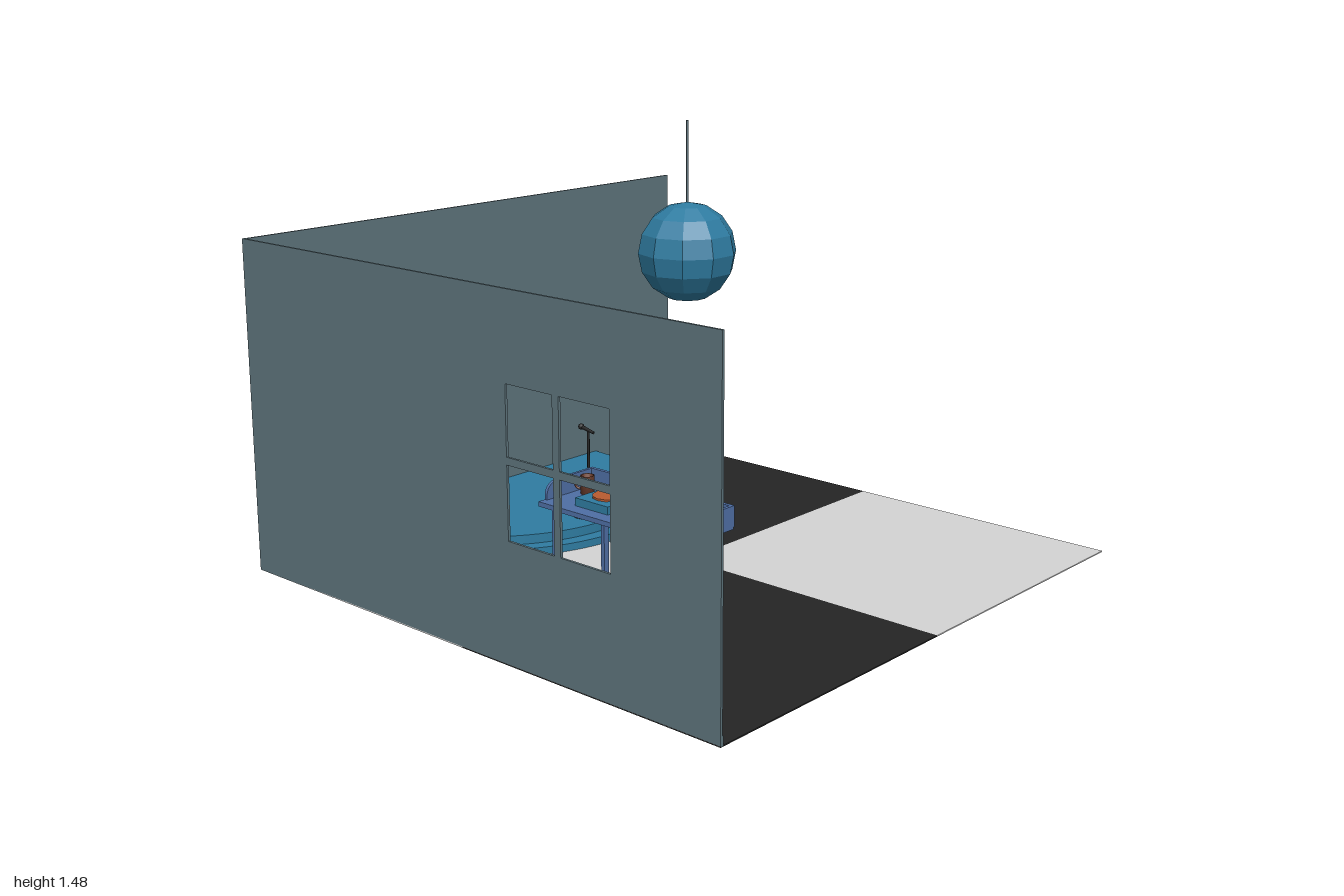
import * as THREE from 'three';

const mat = (name, color, extra = {}) => {
  const m = new THREE.MeshStandardMaterial({ color, ...extra });
  m.name = name;
  return m;
};

export function createModel() {
  const wall = mat('wall slate', 0x5f757d);
  const blue = mat('stage blue', 0x2f7ca1);
  const orange = mat('cabinet orange', 0xb85b30);
  const brown = mat('mug brown', 0x693c2c);
  const desk = mat('desk blue', 0x4f6fa5);
  const black = mat('black', 0x242424);
  const light = mat('light tile', 0xd4d4d4);
  const facetBlue = blue;

  const group = (name, parent) => {
    const g = new THREE.Group();
    g.name = name;
    parent.add(g);
    return g;
  };
  const add = (parent, name, geo, material, x = 0, y = 0, z = 0) => {
    const m = new THREE.Mesh(geo, material);
    m.name = name;
    m.position.set(x, y, z);
    parent.add(m);
    return m;
  };
  // Box given by its minimum and maximum corners
  const box = (parent, name, material, x0, x1, y0, y1, z0, z1) =>
    add(parent, name, new THREE.BoxGeometry(x1 - x0, y1 - y0, z1 - z0), material,
      (x0 + x1) / 2, (y0 + y1) / 2, (z0 + z1) / 2);
  const cyl = (r0, r1, h, n = 16) => new THREE.CylinderGeometry(r0, r1, h, n);

  const model = new THREE.Group();
  model.name = 'musicRoom';

  // Checkered floor
  const floor = group('floor', model);
  for (const sx of [-1, 1]) for (const sz of [-1, 1]) {
    add(floor, 'floorTile', new THREE.BoxGeometry(1, 0.004, 1), sx === sz ? light : black,
      sx * 0.5, 0.002, sz * 0.5);
  }

  // Walls: back, and side with a four-pane window
  const walls = group('walls', model);
  box(walls, 'backWall', wall, -1, 1, 0, 1.11, -0.998, -0.99);
  box(walls, 'backSkirting', wall, -0.99, 1, 0, 0.03, -0.99, -0.986);
  const side = new THREE.Shape();
  side.moveTo(-1, 0).lineTo(1, 0).lineTo(1, 1.11).lineTo(-1, 1.11).closePath();
  for (const [a, b] of [[-0.61, -0.42], [-0.395, -0.21]])
    for (const [c, d] of [[0.38, 0.605], [0.628, 0.84]]) {
      const pane = new THREE.Path();
      pane.moveTo(a, c).lineTo(a, d).lineTo(b, d).lineTo(b, c).closePath();
      side.holes.push(pane);
    }
  const sideGeo = new THREE.ExtrudeGeometry(side, { depth: 0.008, bevelEnabled: false });
  sideGeo.rotateY(Math.PI / 2);
  add(walls, 'windowWall', sideGeo, wall, -1);
  box(walls, 'sideSkirting', wall, -0.992, -0.988, 0, 0.03, -0.99, 1);

  // Two-step half-oval stage
  const stage = group('stage', model);
  const step = (name, rx, rz, y0, y1) => {
    const s = new THREE.Shape();
    s.absellipse(0, 0, rx, rz, 0, Math.PI, false);
    s.closePath();
    const g = new THREE.ExtrudeGeometry(s, { depth: y1 - y0, bevelEnabled: false, curveSegments: 48 });
    g.rotateX(Math.PI / 2);
    add(stage, name, g, blue, 0, y1, -1);
  };
  step('lowerStep', 0.62, 0.68, 0.002, 0.03);
  step('upperStep', 0.575, 0.63, 0.03, 0.062);

  // Microphone on its stand
  const mic = group('microphone', model);
  mic.position.set(0, 0.062, -0.46);
  add(mic, 'standBase', cyl(0.05, 0.062, 0.01, 20), black, 0, 0.005);
  add(mic, 'standPole', cyl(0.005, 0.005, 0.3, 8), black, 0, 0.155);
  const handle = add(mic, 'micHandle', cyl(0.007, 0.005, 0.06, 10), black, 0, 0.307, -0.003);
  handle.rotation.x = -Math.PI / 2 + 0.2;
  add(mic, 'micHead', new THREE.SphereGeometry(0.011, 12, 8), black, 0, 0.313, -0.034);

  // Hanging faceted ball
  const ball = group('hangingBall', model);
  const ballGeo = new THREE.SphereGeometry(0.162, 10, 8).toNonIndexed();
  ballGeo.computeVertexNormals();
  add(ball, 'ball', ballGeo, facetBlue, 0, 1.052);
  add(ball, 'rod', cyl(0.004, 0.004, 0.28, 8), wall, 0, 1.335);

  // Hollow mug with a handle
  const makeMug = (parent, x, y, z, turn) => {
    const g = group('mug', parent);
    g.position.set(x, y, z);
    g.rotation.y = turn;
    const pts = [[0, 0], [0.021, 0], [0.022, 0.057], [0.018, 0.057], [0.017, 0.042], [0, 0.042]];
    add(g, 'mugBody', new THREE.LatheGeometry(pts.map(p => new THREE.Vector2(...p)), 14), brown);
    add(g, 'mugHandle', new THREE.TorusGeometry(0.014, 0.004, 6, 14), brown, 0.023, 0.029);
  };

  // Speaker cabinets
  for (const x of [-0.76, 0.765]) {
    const c = group('speakerCabinet', model);
    c.position.set(x, 0, -0.867);
    box(c, 'cabinetBody', orange, -0.105, 0.105, 0.03, 0.355, -0.103, 0.1);
    box(c, 'speakerCloth', blue, -0.093, 0.093, 0.042, 0.25, 0.1, 0.104);
    box(c, 'displayPanel', brown, -0.055, 0.055, 0.272, 0.338, 0.1, 0.104);
    for (const s of [-1, 1]) {
      const knob = add(c, 'knob', cyl(0.009, 0.009, 0.012, 12), brown, s * 0.078, 0.302, 0.105);
      knob.rotation.x = Math.PI / 2;
      for (const z of [-0.082, 0.08])
        add(c, 'cabinetFoot', cyl(0.01, 0.007, 0.032, 8), brown, s * 0.088, 0.016, z);
    }
  }
  makeMug(model, 0.835, 0.355, -0.81, 0);

  // Desk: board, high outer fascia and rounded end panels
  const table = group('desk', model);
  box(table, 'deskBoard', desk, -0.735, -0.51, 0.385, 0.4, 0.056, 0.628);
  box(table, 'deskFascia', desk, -0.517, -0.505, 0.392, 0.456, 0.056, 0.628);
  const end = new THREE.Shape();
  end.moveTo(-0.708, 0.392).lineTo(-0.51, 0.392).lineTo(-0.51, 0.456).lineTo(-0.66, 0.456);
  end.quadraticCurveTo(-0.708, 0.45, -0.708, 0.41);
  end.closePath();
  const endGeo = new THREE.ExtrudeGeometry(end, { depth: 0.01, bevelEnabled: false });
  for (const z of [0.056, 0.618]) add(table, 'deskEnd', endGeo, desk, 0, 0, z);
  for (const z of [0.12, 0.57]) {
    const f = group('legFrame', table);
    for (const x of [-0.725, -0.518]) box(f, 'deskLeg', desk, x - 0.01, x + 0.01, 0.004, 0.39, z - 0.007, z + 0.007);
    box(f, 'footBar', desk, -0.725, -0.518, 0.02, 0.048, z - 0.007, z + 0.007);
  }
  makeMug(model, -0.58, 0.4, 0.11, 2.2);

  // Record decks
  for (const z of [0.233, 0.447]) {
    const d = group('recordDeck', model);
    d.position.set(-0.622, 0.4, z);
    box(d, 'deckBody', blue, -0.068, 0.068, 0, 0.025, -0.067, 0.067);
    add(d, 'record', cyl(0.05, 0.05, 0.006, 12), orange, 0.005, 0.028, 0.002);
    add(d, 'armPivot', cyl(0.008, 0.008, 0.012, 10), black, 0.055, 0.031, -0.052);
    const arm = add(d, 'toneArm', new THREE.BoxGeometry(0.004, 0.004, 0.045), black, 0.051, 0.035, -0.032);
    arm.rotation.y = -0.2;
  }

  return model;
}
